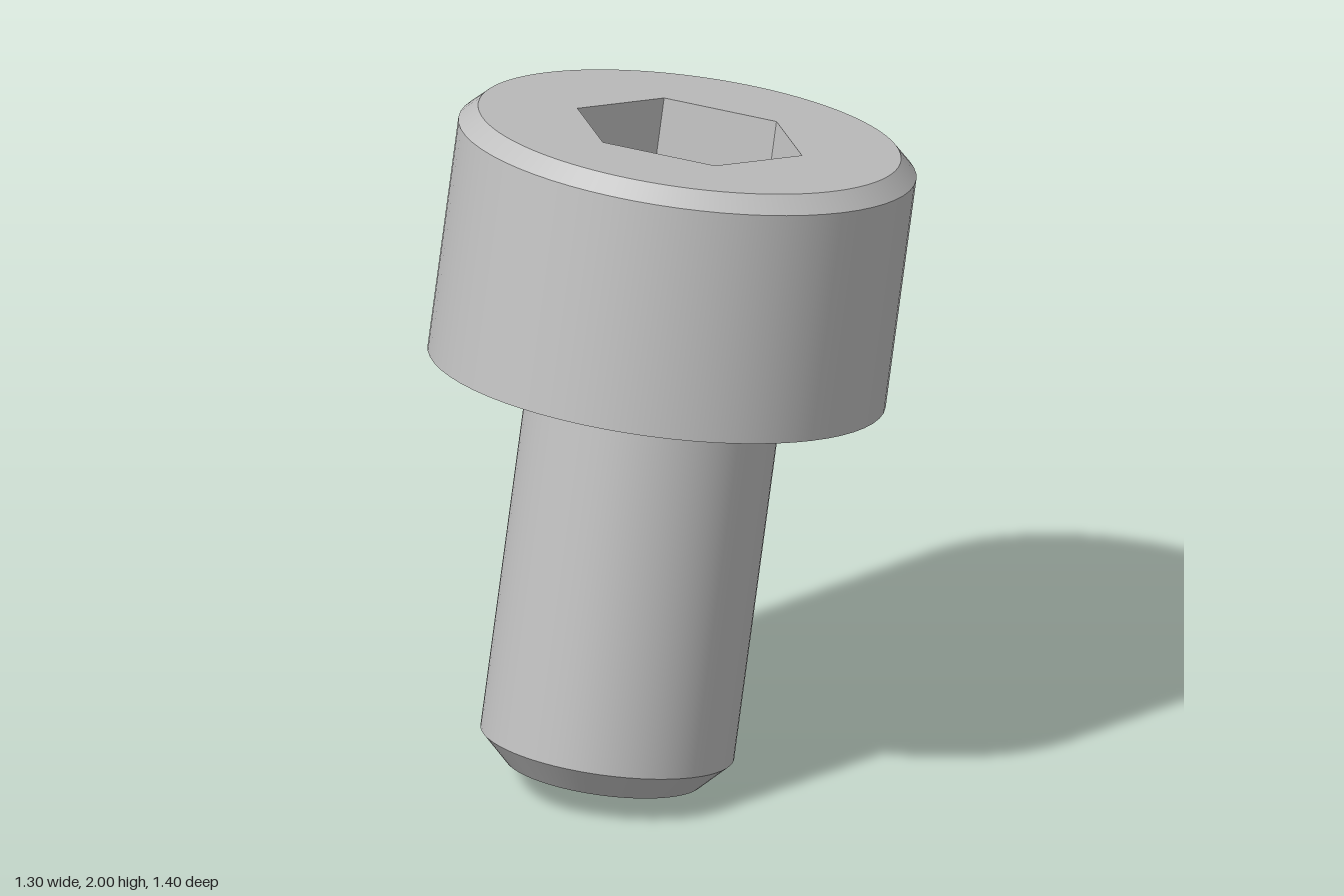
import * as THREE from 'three';

const SEGMENTS = 64;

export function createModel() {
  const steel = new THREE.MeshStandardMaterial({ color: 0xc0c0c0 });
  steel.name = 'steel grey';

  const screw = new THREE.Group();
  screw.name = 'socketHeadScrew';

  const add = (name, geometry, y = 0) => {
    const mesh = new THREE.Mesh(geometry, steel);
    mesh.name = name;
    mesh.position.y = y;
    screw.add(mesh);
  };

  // One straight profile segment turned around the axis, so edges stay sharp
  const band = (name, r0, y0, r1, y1) =>
    add(name, new THREE.LatheGeometry([new THREE.Vector2(r0, y0), new THREE.Vector2(r1, y1)], SEGMENTS));

  // Flat plate facing up, with a hole
  const plate = (name, outline, hole, y) => {
    outline.holes.push(hole);
    add(name, new THREE.ShapeGeometry(outline, SEGMENTS).rotateX(-Math.PI / 2), y);
  };
  const circle = (Type, r, clockwise = false) => new Type().absarc(0, 0, r, 0, Math.PI * 2, clockwise);
  const hexagon = (r) => Array.from({ length: 6 }, (_, i) => {
    const a = Math.PI / 2 + (i * Math.PI) / 3;
    return new THREE.Vector2(r * Math.cos(a), r * Math.sin(a));
  });

  const headBase = 1.156, headTop = 1.875;
  const hexRadius = 0.334, floorY = headTop - 0.363, drillRadius = 0.287;

  // Shank with chamfered tip
  band('tipFace', 0, 0, 0.28, 0);
  band('tipChamfer', 0.28, 0, 0.36, 0.081);
  band('shank', 0.36, 0.081, 0.36, headBase);

  // Head
  band('headUnderside', 0.36, headBase, 0.65, headBase);
  band('headSide', 0.65, headBase, 0.65, headTop - 0.048);
  band('headChamfer', 0.65, headTop - 0.048, 0.6, headTop);
  plate('headTop', circle(THREE.Shape, 0.6), new THREE.Path(hexagon(hexRadius).reverse()), headTop);

  // Hexagonal socket: inward-facing walls, flat corners and shallow conical floor
  const walls = new THREE.LatheGeometry(
    [new THREE.Vector2(hexRadius, headTop), new THREE.Vector2(hexRadius, floorY)], 6).toNonIndexed();
  walls.computeVertexNormals();
  add('socketWalls', walls);
  plate('socketFloor', new THREE.Shape(hexagon(hexRadius)), circle(THREE.Path, drillRadius, true), floorY);
  band('socketCone', drillRadius, floorY, 0, floorY - 0.05);

  // Lean the screw backwards and rest its tip on the ground
  screw.rotation.x = -THREE.MathUtils.degToRad(10);
  screw.position.set(0, 0.0486, 0.259);

  const model = new THREE.Group();
  model.name = 'tiltedScrew';
  model.add(screw);
  return model;
}
